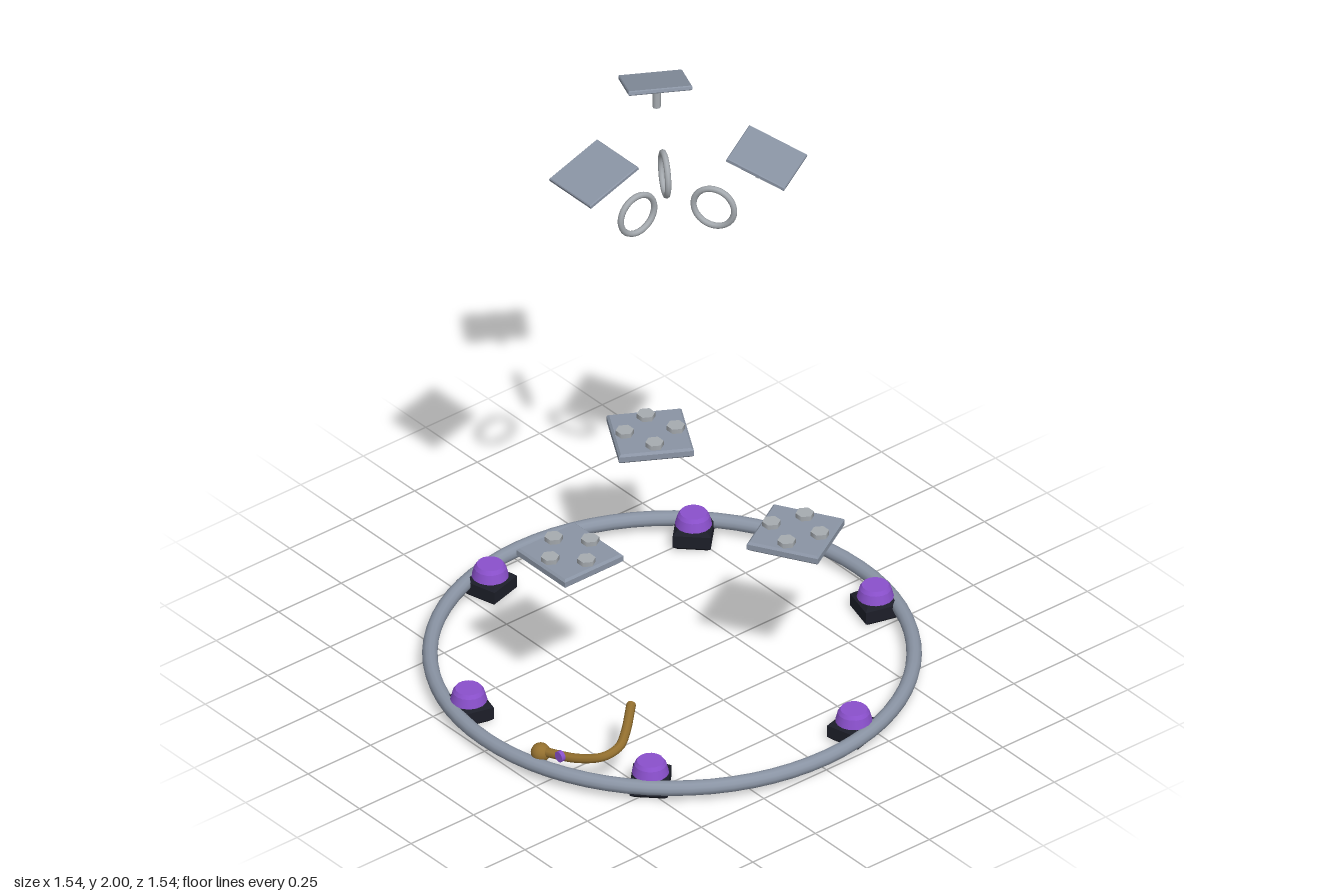
import * as THREE from 'three';

const mat = (color) => new THREE.MeshStandardMaterial({ color });
const steel = mat(0x8a94a4), pale = mat(0xa6abb0), dark = mat(0x1c1e28);
const purple = mat(0x8a50cc), gold = mat(0x94702f);

function add(parent, name, geometry, material, x = 0, y = 0, z = 0) {
  const mesh = new THREE.Mesh(geometry, material);
  mesh.name = name;
  mesh.position.set(x, y, z);
  parent.add(mesh);
  return mesh;
}

// Box with chamfered edges, centred on the origin
function chamferBox(w, h, d, b) {
  const x = w / 2 - b, z = d / 2 - b;
  const shape = new THREE.Shape([[-x, -z], [x, -z], [x, z], [-x, z]].map((p) => new THREE.Vector2(...p)));
  const geometry = new THREE.ExtrudeGeometry(shape, {
    depth: h - 2 * b, bevelEnabled: true, bevelThickness: b, bevelSize: b, bevelSegments: 1,
  });
  geometry.translate(0, 0, b - h / 2);
  return geometry.rotateX(-Math.PI / 2);
}

// Group whose local +x points outward at the given angle (0 = +x, 90 = +z)
function spoke(parent, name, degrees) {
  const group = new THREE.Group();
  group.name = name;
  group.rotation.y = -THREE.MathUtils.degToRad(degrees);
  parent.add(group);
  return group;
}

export function createModel() {
  const model = new THREE.Group();

  // Ground ring
  add(model, 'baseRing', new THREE.TorusGeometry(0.748, 0.024, 12, 72).rotateX(Math.PI / 2), steel, 0, 0.045);

  // Six dark feet with purple caps
  const footGeo = chamferBox(0.118, 0.066, 0.118, 0.012);
  const capGeo = new THREE.CylinderGeometry(0.05, 0.058, 0.03, 16);
  const capTopGeo = new THREE.CylinderGeometry(0.042, 0.05, 0.012, 16);
  for (let i = 0; i < 6; i++) {
    const s = spoke(model, 'lampUnit', 15 + i * 60);
    add(s, 'lampFoot', footGeo, dark, 0.69, 0.033);
    add(s, 'lampCap', capGeo, purple, 0.69, 0.081);
    add(s, 'lampCapTop', capTopGeo, purple, 0.69, 0.102);
  }

  // Three spokes: studded tile, tilted panel on a post, upright ring
  const tileGeo = chamferBox(0.235, 0.032, 0.235, 0.007);
  const studGeo = new THREE.CylinderGeometry(0.029, 0.029, 0.022, 6);
  const panelGeo = chamferBox(0.203, 0.015, 0.2, 0.003);
  const postGeo = new THREE.CylinderGeometry(0.013, 0.013, 0.07, 10);
  const hoopGeo = new THREE.TorusGeometry(0.067, 0.01, 8, 32);
  for (const degrees of [180, 60, -60]) {
    const s = spoke(model, 'floatingUnit', degrees);
    add(s, 'tile', tileGeo, steel, 0.408, 0.583);
    for (let k = 0; k < 4; k++) {
      const a = (k * Math.PI) / 2;
      add(s, 'stud', studGeo, pale, 0.408 + 0.08 * Math.cos(a), 0.604, 0.08 * Math.sin(a));
    }
    add(s, 'panel', panelGeo, steel, 0.312, 1.961).rotation.z = -0.33;
    add(s, 'panelPost', postGeo, pale, 0.288, 1.923);
    add(s, 'hoop', hoopGeo, pale, 0.138, 1.737);
  }

  // Curved golden lever with a ball at its pivot
  const path = new THREE.CatmullRomCurve3([
    [-0.69, 0.08, 0.2], [-0.645, 0.1, 0.33], [-0.6, 0.125, 0.4],
    [-0.55, 0.143, 0.41], [-0.5, 0.158, 0.38], [-0.41, 0.186, 0.3],
  ].map((p) => new THREE.Vector3(...p)));
  add(model, 'lever', new THREE.TubeGeometry(path, 32, 0.015, 8), gold);
  const end = add(model, 'leverEnd', new THREE.CircleGeometry(0.015, 8), gold);
  end.position.copy(path.getPoint(1));
  end.lookAt(path.getPoint(1).add(path.getTangent(1)));
  add(model, 'leverBall', new THREE.SphereGeometry(0.031, 16, 12), gold, -0.69, 0.075, 0.2);

  // Small purple button beside the lever
  add(model, 'button', new THREE.CylinderGeometry(0.018, 0.018, 0.014, 12).rotateZ(Math.PI / 2), purple, -0.705, 0.125, 0.313);

  return model;
}
